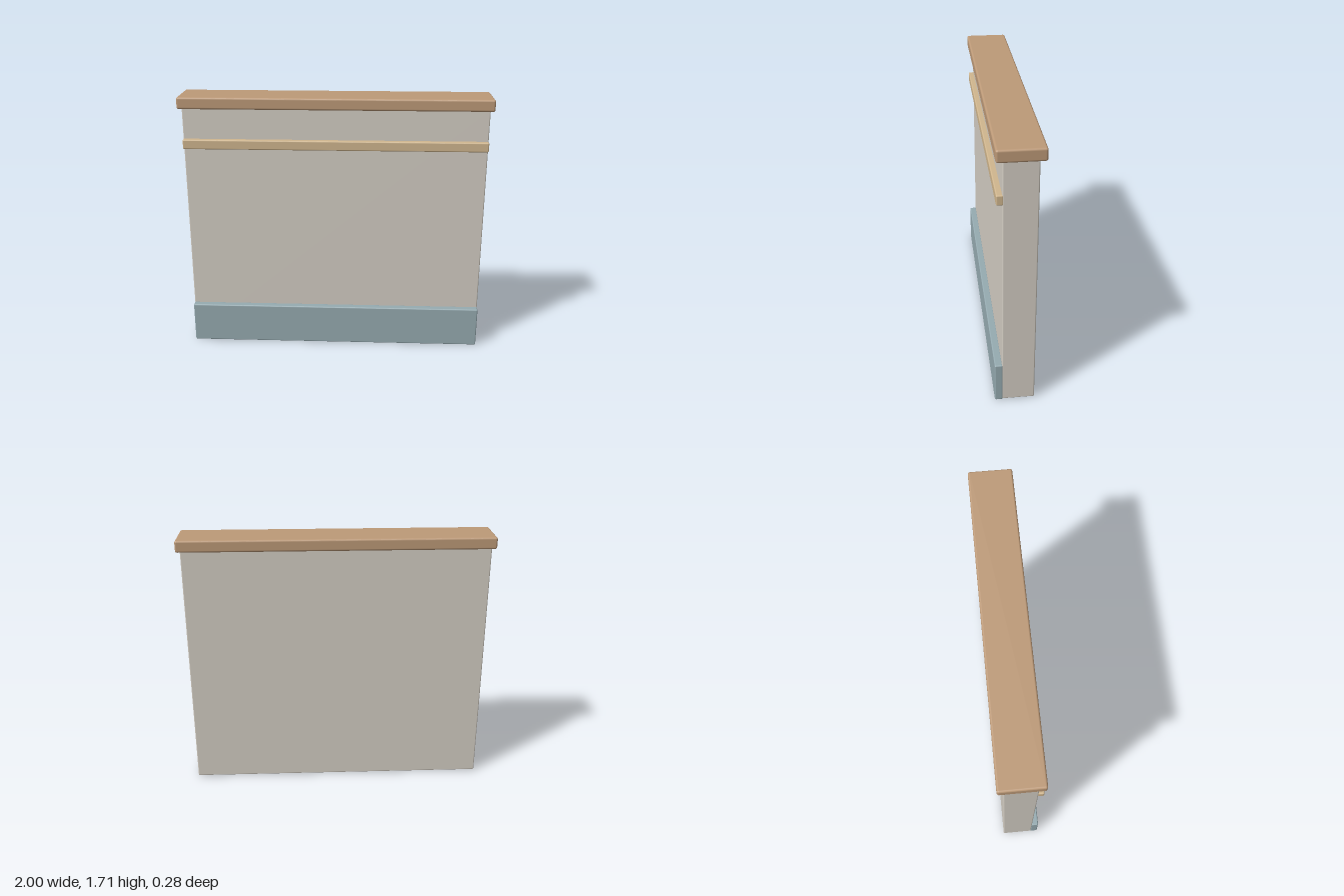
import * as THREE from 'three';
import { RoundedBoxGeometry } from 'three/addons/geometries/RoundedBoxGeometry.js';

// Rounded block given by its width and its y and z ranges, centred on x
function block(name, color, width, [y0, y1], [z0, z1], radius) {
  const mesh = new THREE.Mesh(
    new RoundedBoxGeometry(width, y1 - y0, z1 - z0, 3, radius),
    new THREE.MeshStandardMaterial({ color })
  );
  mesh.name = name;
  mesh.position.set(0, (y0 + y1) / 2, (z0 + z1) / 2);
  return mesh;
}

export function createModel() {
  const model = new THREE.Group();
  model.name = 'halfWall';
  model.add(
    // Upright panel
    block('wallPanel', 0xd4cec4, 1.954, [0.005, 1.645], [-0.103, 0.098], 0.008),
    // Overhanging wooden cap
    block('topCap', 0xbd9a78, 2, [1.635, 1.711], [-0.14, 0.136], 0.013),
    // Thin trim rail on the front
    block('trimRail', 0xd0b68e, 1.954, [1.375, 1.437], [0.09, 0.132], 0.008),
    // Skirting board at the foot of the front
    block('baseboard', 0x96abb1, 1.954, [0, 0.27], [0.093, 0.142], 0.008)
  );
  return model;
}
